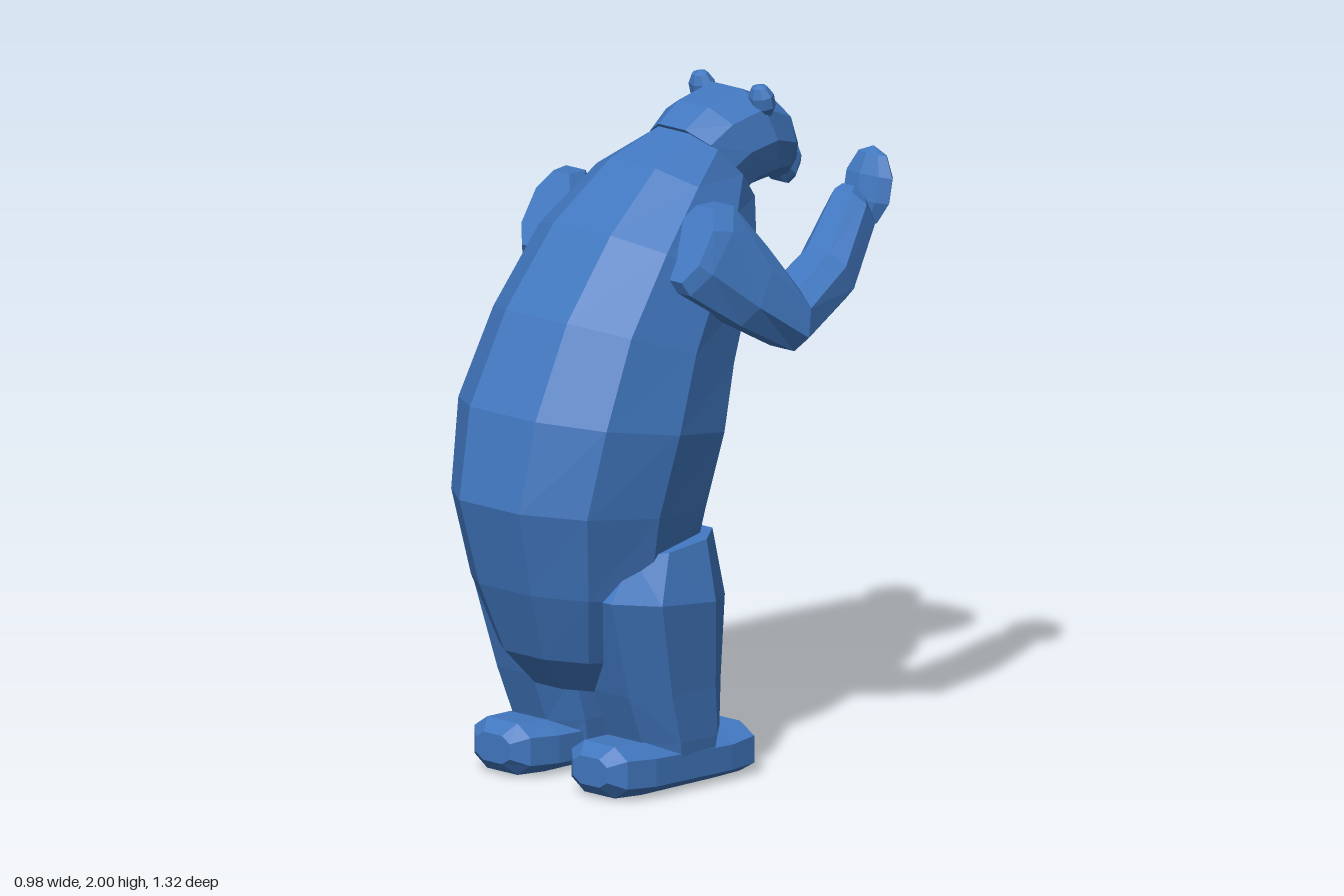
import * as THREE from 'three';

const blue = new THREE.MeshStandardMaterial({ color: 0x4177bf });

// Faceted mesh: unshared corners give flat normals.
function facetMesh(name, geometry) {
  const flat = geometry.index ? geometry.toNonIndexed() : geometry;
  flat.computeVertexNormals();
  const mesh = new THREE.Mesh(flat, blue);
  mesh.name = name;
  return mesh;
}

// Closed loft. Each section: [zA, yA, zB, yB, halfWidth, centreX];
// A and B are the two outline points seen from the side.
function loft(name, sections, sides, side = 1, power = 0.85) {
  const bulge = (v) => Math.sign(v) * Math.pow(Math.abs(v), power);
  const ring = [];
  for (let i = 0; i < sides; i++) {
    const t = ((i + 0.5) / sides) * Math.PI * 2;
    ring.push([bulge(Math.cos(t)), bulge(Math.sin(t))]);
  }
  const maxU = Math.max(...ring.map((p) => p[0]));
  const maxV = Math.max(...ring.map((p) => p[1]));
  const rings = sections.map(([za, ya, zb, yb, w, x = 0]) => ring.map(([u, v]) => {
    const k = (u / maxU + 1) / 2;
    return new THREE.Vector3(side * (x + (w * v) / maxV), yb + (ya - yb) * k, zb + (za - zb) * k);
  }));
  const middle = ([za, ya, zb, yb, , x = 0]) =>
    new THREE.Vector3(side * x, (ya + yb) / 2, (za + zb) / 2);
  const first = middle(sections[0]);
  const last = middle(sections[sections.length - 1]);

  const tris = [];
  for (let i = 0; i < sides; i++) {
    const j = (i + 1) % sides;
    for (let s = 0; s < rings.length - 1; s++) {
      const [p, q] = [rings[s], rings[s + 1]];
      tris.push([p[i], p[j], q[j]], [p[i], q[j], q[i]]);
    }
    const end = rings[rings.length - 1];
    tris.push([first, rings[0][j], rings[0][i]], [last, end[i], end[j]]);
  }
  // Turn all faces outward, whichever way the loft runs.
  const origin = middle(sections[Math.floor(sections.length / 2)]);
  let volume = 0;
  for (const [a, b, c] of tris) {
    volume += a.clone().sub(origin).dot(b.clone().sub(origin).cross(c.clone().sub(origin)));
  }
  const points = tris.flatMap(([a, b, c]) => (volume < 0 ? [a, c, b] : [a, b, c]));
  return facetMesh(name, new THREE.BufferGeometry().setFromPoints(points));
}

// Low-poly ellipsoid for ears and paws.
function pebble(name, size, position, tilt) {
  const geometry = new THREE.SphereGeometry(1, 8, 5);
  geometry.scale(...size);
  const mesh = facetMesh(name, geometry);
  mesh.position.set(...position);
  mesh.rotation.x = tilt;
  return mesh;
}

export function createModel() {
  const bear = new THREE.Group();
  bear.name = 'standingBear';

  // Hunched torso, from rump to neck
  bear.add(loft('torso', [
    [0.42, 0.30, 0.10, 0.27, 0.15],
    [0.52, 0.41, 0.04, 0.36, 0.22],
    [0.60, 0.62, -0.01, 0.55, 0.29],
    [0.665, 0.88, -0.07, 0.80, 0.335],
    [0.61, 1.15, -0.125, 1.02, 0.365],
    [0.47, 1.42, -0.17, 1.20, 0.34],
    [0.28, 1.65, -0.23, 1.38, 0.315],
    [0.07, 1.81, -0.29, 1.53, 0.25],
    [-0.10, 1.88, -0.33, 1.63, 0.17],
  ], 10));

  // Head bent forward, with a small nose
  bear.add(loft('head', [
    [-0.09, 1.89, -0.30, 1.65, 0.15],
    [-0.18, 1.945, -0.33, 1.68, 0.165],
    [-0.32, 1.975, -0.40, 1.69, 0.17],
    [-0.47, 1.91, -0.47, 1.69, 0.135],
    [-0.56, 1.79, -0.50, 1.67, 0.075],
  ], 10));
  bear.add(loft('nose', [
    [-0.54, 1.79, -0.50, 1.68, 0.06],
    [-0.58, 1.76, -0.53, 1.65, 0.06],
    [-0.605, 1.72, -0.56, 1.64, 0.03],
  ], 8));

  for (const side of [1, -1]) {
    const label = side > 0 ? 'left' : 'right';
    bear.add(pebble(label + 'Ear', [0.045, 0.055, 0.036], [side * 0.122, 1.946, -0.34], 0.25));

    // Raised arm: shoulder, elbow, wrist
    bear.add(loft(label + 'Arm', [
      [0.07, 1.73, 0.20, 1.53, 0.07, 0.295],
      [0.00, 1.73, 0.18, 1.49, 0.085, 0.305],
      [-0.09, 1.60, 0.02, 1.38, 0.095, 0.35],
      [-0.18, 1.465, -0.16, 1.28, 0.105, 0.385],
      [-0.34, 1.54, -0.41, 1.39, 0.095, 0.355],
      [-0.50, 1.68, -0.575, 1.55, 0.075, 0.30],
      [-0.53, 1.69, -0.59, 1.58, 0.05, 0.29],
    ], 8, side));
    bear.add(pebble(label + 'Paw', [0.098, 0.122, 0.045], [side * 0.29, 1.67, -0.61], -0.2));

    // Hind leg
    bear.add(loft(label + 'Leg', [
      [0.34, 0.72, 0.01, 0.75, 0.12, 0.21],
      [0.45, 0.60, -0.02, 0.55, 0.165, 0.21],
      [0.36, 0.30, -0.02, 0.30, 0.15, 0.20],
      [0.30, 0.15, -0.02, 0.15, 0.145, 0.197],
      [0.26, 0.05, 0.01, 0.05, 0.135, 0.195],
    ], 8, side));

    // Foot with rounded heel and toe
    bear.add(loft(label + 'Foot', [
      [0.45, 0.125, 0.45, 0.04, 0.07, 0.20],
      [0.41, 0.16, 0.41, 0.005, 0.115, 0.20],
      [0.31, 0.155, 0.31, 0, 0.135, 0.20],
      [0.00, 0.14, 0.00, 0, 0.14, 0.20],
      [-0.10, 0.15, -0.10, 0, 0.13, 0.20],
      [-0.15, 0.11, -0.15, 0.03, 0.07, 0.20],
    ], 8, side, 0.7));
  }
  return bear;
}
